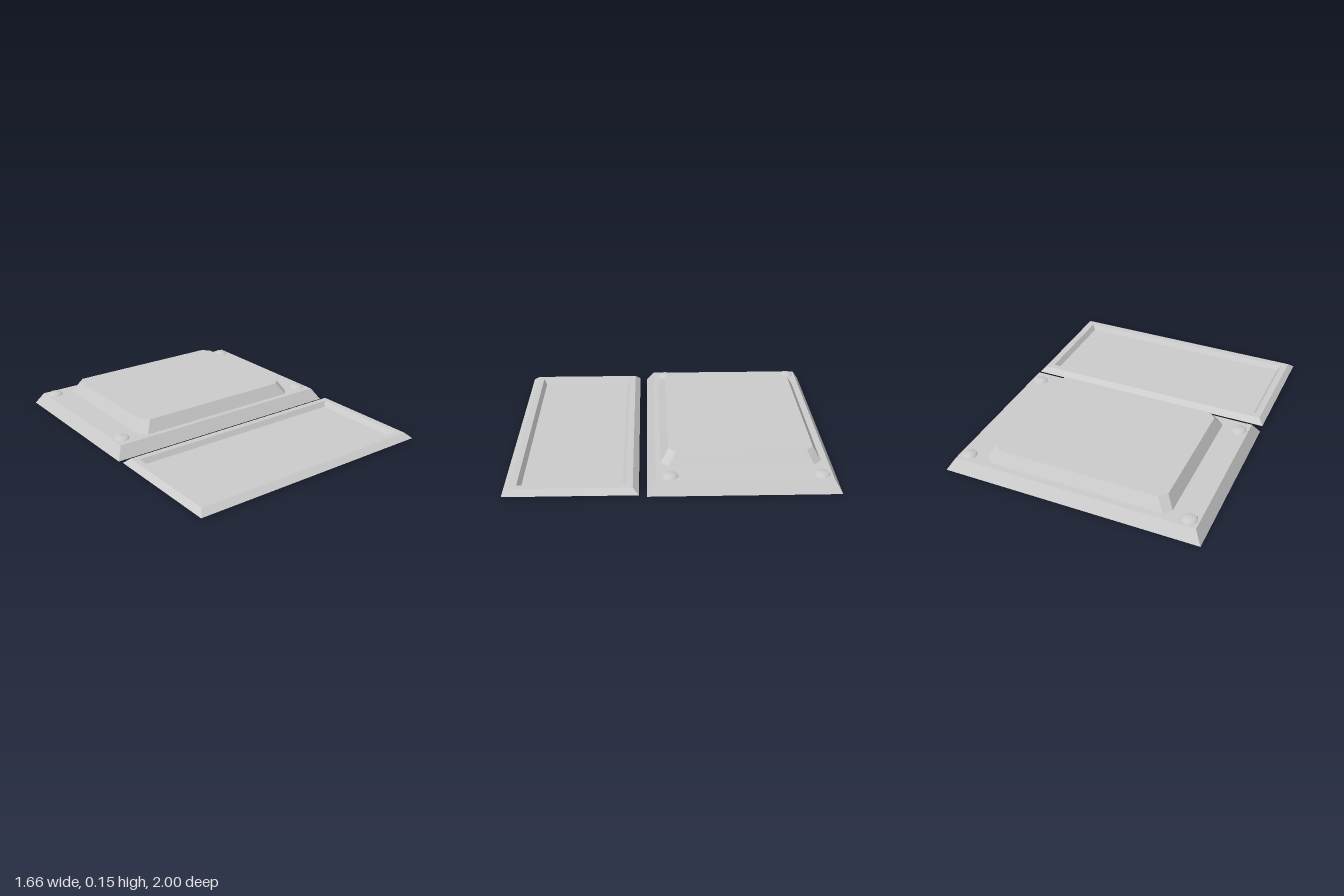
import * as THREE from 'three';

const material = new THREE.MeshStandardMaterial({
  color: 0xcccccc, flatShading: true, side: THREE.DoubleSide });
const smoothMaterial = new THREE.MeshStandardMaterial({
  color: 0xcccccc, side: THREE.DoubleSide });

// Rectangle at height y, counter-clockwise from above; cut > 0 chamfers its corners
function ring(y, halfX, zBack, zFront, cut = 0) {
  const x = halfX, b = zBack, f = zFront, c = cut;
  const points = c
    ? [[-x + c, f], [x - c, f], [x, f - c], [x, b + c], [x - c, b], [-x + c, b], [-x, b + c], [-x, f - c]]
    : [[-x, f], [x, f], [x, b], [-x, b]];
  return points.map(([px, pz]) => [px, y, pz]);
}

// Open-bottomed shell: walls between successive rings, the last ring closed
function shell(name, rings) {
  const positions = [];
  const tri = (...corners) => corners.forEach(p => positions.push(...p));
  for (let r = 0; r < rings.length - 1; r++) {
    const a = rings[r], b = rings[r + 1], n = a.length;
    for (let i = 0; i < n; i++) {
      const j = (i + 1) % n;
      tri(a[i], a[j], b[j]);
      tri(a[i], b[j], b[i]);
    }
  }
  const cap = rings[rings.length - 1];
  for (let i = 1; i < cap.length - 1; i++) tri(cap[0], cap[i], cap[i + 1]);

  const geometry = new THREE.BufferGeometry();
  geometry.setAttribute('position', new THREE.Float32BufferAttribute(positions, 3));
  geometry.computeVertexNormals();
  const mesh = new THREE.Mesh(geometry, material);
  mesh.name = name;
  return mesh;
}

export function createModel() {
  const model = new THREE.Group();
  model.name = 'panelPair';

  // Rear plate with bevelled sides
  model.add(shell('rearPlate', [
    ring(0, 0.83, -1, 0.15),
    ring(0.075, 0.783, -0.953, 0.1),
  ]));

  // Raised panel with cut corners
  model.add(shell('raisedPanel', [
    ring(0.075, 0.61, -0.91, 0.066, 0.045),
    ring(0.15, 0.565, -0.865, 0.02, 0.045),
  ]));

  // Low domed studs in the four corners
  const studProfile = [[0.05, 0], [0.037, 0.015], [0, 0.016]]
    .map(([r, y]) => new THREE.Vector2(r, y));
  const studGeometry = new THREE.LatheGeometry(studProfile, 8);
  for (const x of [-0.723, 0.723]) {
    for (const z of [-0.89, 0.013]) {
      const stud = new THREE.Mesh(studGeometry, smoothMaterial);
      stud.name = 'stud';
      stud.position.set(x, 0.075, z);
      model.add(stud);
    }
  }

  // Front plate: bevelled side, flat rim, then a sunken tray
  model.add(shell('frontTray', [
    ring(0.011, 0.83, 0.198, 1),
    ring(0.044, 0.797, 0.234, 0.96),
    ring(0.044, 0.757, 0.275, 0.918),
    ring(0.012, 0.734, 0.295, 0.897),
  ]));

  return model;
}
